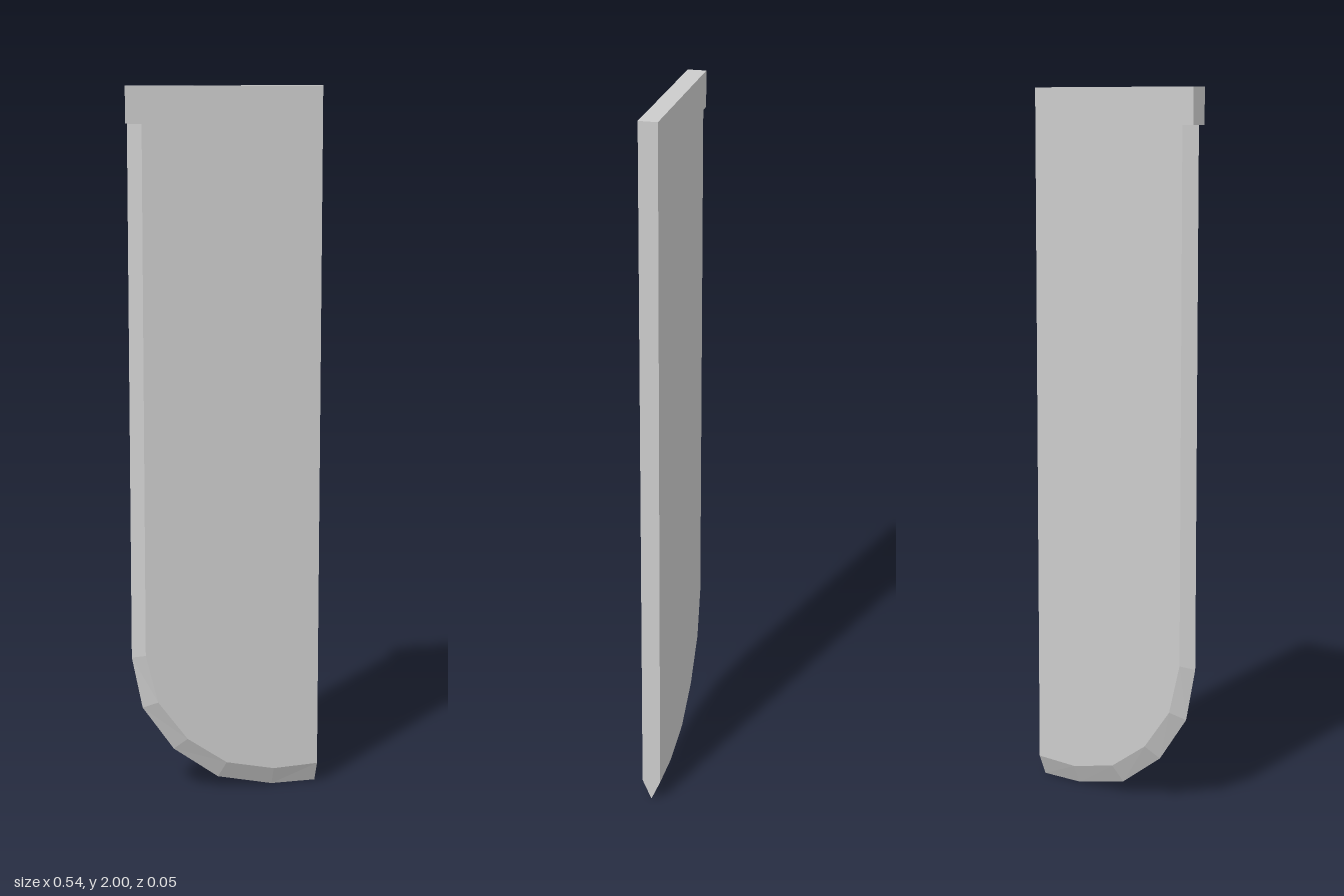
import * as THREE from 'three';

const T = 0.026; // half thickness
const W = 0.27; // half width
const SHOULDER = 1.9;
const TOP = 2;

// Stations along the cutting edge: [edge x, edge y, bevel start x, bevel start y]
const stations = [
  [-W, SHOULDER, -0.235, SHOULDER],
  [-W, 0.41, -0.235, 0.42],
  [-0.24, 0.26, -0.2, 0.28],
  [-0.15, 0.13, -0.115, 0.165],
  [-0.02, 0.035, 0, 0.085],
  [0.14, 0, 0.14, 0.055],
  [W, 0, W, 0.06],
];

// Flat mesh from convex polygons, each listed counter-clockwise from outside
function polygonMesh(name, polygons) {
  const positions = [];
  for (const p of polygons) {
    for (let i = 1; i < p.length - 1; i++) positions.push(...p[0], ...p[i], ...p[i + 1]);
  }
  const geometry = new THREE.BufferGeometry();
  geometry.setAttribute('position', new THREE.Float32BufferAttribute(positions, 3));
  geometry.computeVertexNormals();
  const material = new THREE.MeshStandardMaterial({ color: 0xcccccc, flatShading: true });
  const mesh = new THREE.Mesh(geometry, material);
  mesh.name = name;
  return mesh;
}

// A polygon together with its mirror image across z = 0
const mirrored = (p) => [p, p.map(([x, y, z]) => [x, y, -z]).reverse()];

export function createModel() {
  const group = new THREE.Group();
  group.name = 'blade';

  const edge = stations.map(([x, y]) => [x, y, 0]);
  const inner = stations.map(([, , x, y]) => [x, y, T]);
  const first = inner[0];
  const heel = inner[inner.length - 1];
  const tip = edge[edge.length - 1];

  // Flat sides
  group.add(polygonMesh('bladeSides', mirrored([...inner, [W, SHOULDER, T]])));

  // Bevels meeting at the cutting edge
  const bevels = [];
  for (let i = 0; i < edge.length - 1; i++) {
    bevels.push(...mirrored([edge[i], edge[i + 1], inner[i + 1], inner[i]]));
  }
  group.add(polygonMesh('cuttingEdge', bevels));

  // Straight spine, pointed at the bottom
  group.add(polygonMesh('spine', [
    [heel, tip, [W, heel[1], -T], [W, TOP, -T], [W, TOP, T]],
  ]));

  // Squared head with a small ledge over the bevel
  group.add(polygonMesh('head', [
    ...mirrored([[-W, SHOULDER, T], first, [W, SHOULDER, T], [W, TOP, T], [-W, TOP, T]]),
    ...mirrored([[-W, SHOULDER, T], edge[0], first]),
    [[-W, SHOULDER, -T], [-W, SHOULDER, T], [-W, TOP, T], [-W, TOP, -T]],
    [[-W, TOP, T], [W, TOP, T], [W, TOP, -T], [-W, TOP, -T]],
  ]));

  return group;
}
